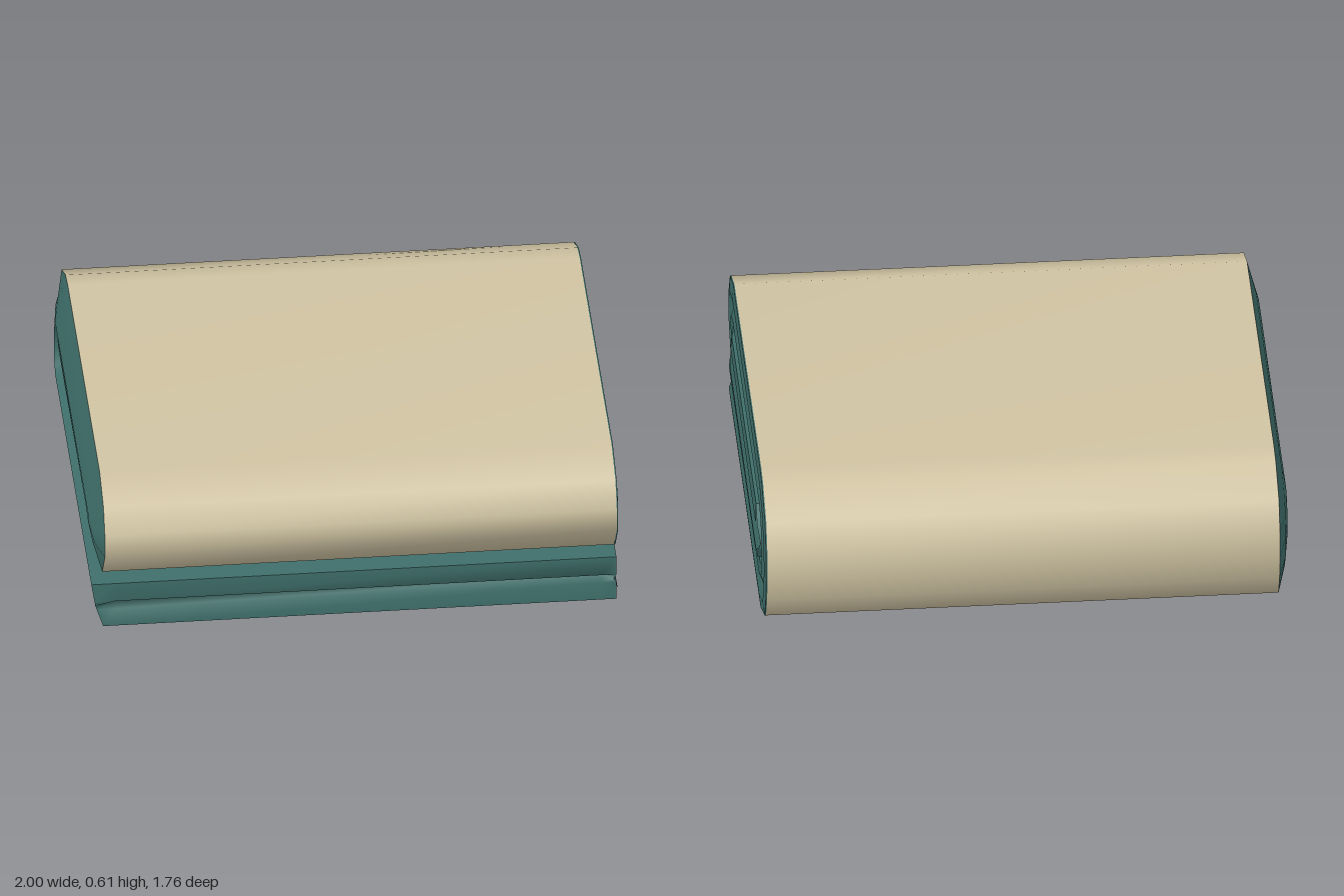
import * as THREE from 'three';

// Three [z, y] paths of the rolled double layer: outer face, fold line, inner face
const OUTER = [[0.82, 0], [-0.61, 0], [-0.8, 0.09], [-0.85, 0.19], [-0.875, 0.295], [-0.87, 0.4],
  [-0.82, 0.52], [-0.67, 0.595], [-0.58, 0.61], [0.68, 0.605], [0.83, 0.545], [0.885, 0.45],
  [0.885, 0.355], [0.78, 0.22], [0.65, 0.2], [-0.565, 0.2]];
const MIDDLE = [[0.82, 0.093], [-0.58, 0.1], [-0.72, 0.16], [-0.77, 0.24], [-0.775, 0.33], [-0.75, 0.41],
  [-0.68, 0.47], [-0.6, 0.5], [-0.58, 0.505], [0.62, 0.5], [0.74, 0.465], [0.79, 0.42],
  [0.79, 0.36], [0.72, 0.315], [0.62, 0.305], [-0.61, 0.285]];
const INNER = [[0.82, 0.19], [-0.6, 0.19], [-0.64, 0.22], [-0.66, 0.27], [-0.66, 0.32], [-0.645, 0.37],
  [-0.62, 0.41], [-0.6, 0.42], [-0.58, 0.425], [0.66, 0.425], [0.69, 0.425], [0.695, 0.42],
  [0.695, 0.4], [0.685, 0.39], [0.62, 0.405], [-0.52, 0.41]];
const LAST = OUTER.length - 1;

// Point at a path station; t runs 0 (outer) to 1 (fold line) to 2 (inner)
function pointAt(i, x, t) {
  const [a, b, k] = t <= 1 ? [OUTER[i], MIDDLE[i], t] : [MIDDLE[i], INNER[i], t - 1];
  const shift = x > 0 && i >= LAST - 1 ? 0.01 : 0; // the core sticks out slightly
  return new THREE.Vector3(x + shift, THREE.MathUtils.lerp(a[1], b[1], k), THREE.MathUtils.lerp(a[0], b[0], k));
}

// Smooth surface through a grid of points
function skin(rows, name, material) {
  const n = rows[0].length, index = [];
  for (let i = 0; i < rows.length - 1; i++) {
    for (let j = 0; j < n - 1; j++) {
      const a = i * n + j, b = a + n;
      index.push(a, b, a + 1, a + 1, b, b + 1);
    }
  }
  const geometry = new THREE.BufferGeometry().setFromPoints(rows.flat());
  geometry.setIndex(index);
  geometry.computeVertexNormals();
  const mesh = new THREE.Mesh(geometry, material);
  mesh.name = name;
  return mesh;
}

export function createModel() {
  const beige = new THREE.MeshStandardMaterial({ color: 0xcfc3a2 });
  beige.name = 'beige cloth';
  const teal = new THREE.MeshStandardMaterial({ color: 0x3f6f6b });
  teal.name = 'teal cloth';

  const group = new THREE.Group();
  group.name = 'foldedBlanket';

  // Sweep each strip of the cloth's cross-section [x, t] along the roll
  const sweep = (section, name, material) =>
    group.add(skin(OUTER.map((_, i) => section.map(([x, t]) => pointAt(i, x, t))), name, material));
  sweep([[-0.955, 0], [0.98, 0]], 'outerCover', beige);
  sweep([[0.98, 0], [0.985, 0]], 'coverHem', teal);
  sweep([[0.985, 0], [0.99, 0.5], [0.975, 1]], 'outerLayerEdge', teal);
  sweep([[0.975, 1], [0.99, 1.5], [0.985, 2]], 'innerLayerEdge', teal);
  sweep([[0.985, 2], [-1, 2]], 'innerLining', teal);
  sweep([[-1, 2], [-0.985, 1], [-0.955, 0]], 'foldedEdge', teal);

  // Ends of the cloth: the front one has a groove between its two layers
  const ends = [[0, 0.82, 1.18, 'frontEnd'], [LAST, 0.5, 1.5, 'coreEnd']];
  for (const [station, low, high, name] of ends) {
    const rows = [0, low, 1, high, 2].map((t) => {
      const left = t < 1 ? -0.955 - 0.03 * t : -0.985 - 0.015 * (t - 1);
      const right = t === 1 ? 0.975 : 0.985;
      const row = [right, 0.93, -0.91, left].map((x, j) => {
        const p = pointAt(station, x, t);
        if (station === 0 && t === 1 && (j === 1 || j === 2)) p.z -= 0.035;
        return p;
      });
      return station === 0 ? row : row.reverse();
    });
    group.add(skin(rows, name, teal));
  }
  return group;
}
